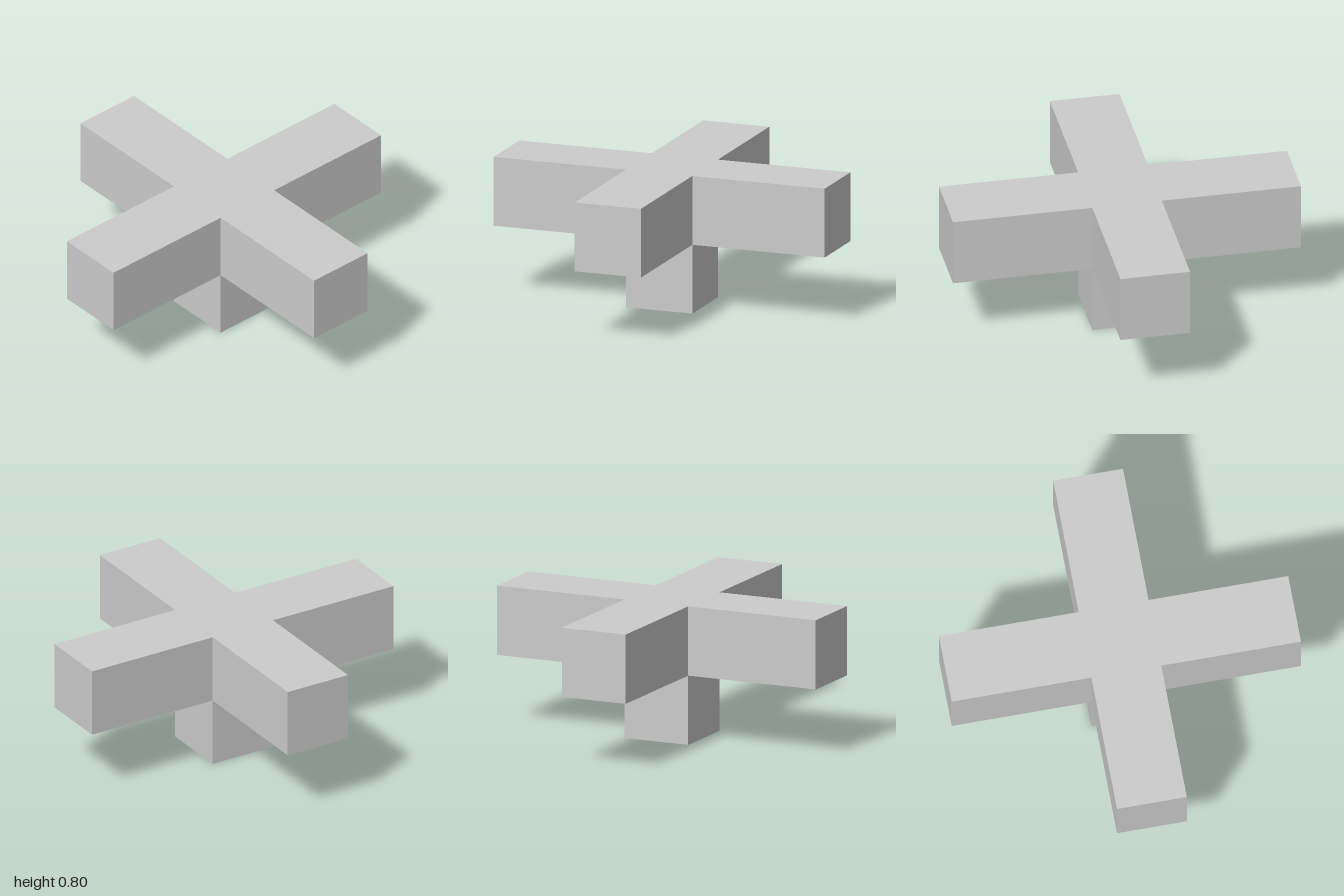
import * as THREE from 'three';

const HALF = 0.2;   // half the width of every bar
const REACH = 1;    // distance from the centre to the end of an arm
const SIZE = HALF * 2;

export function createModel() {
  const group = new THREE.Group();
  group.name = 'crossOnFoot';
  const material = new THREE.MeshStandardMaterial({ color: 0xcccccc, flatShading: true });

  // Four-armed cross: one arm's three corners, turned by quarter turns
  const outline = [];
  for (let i = 0; i < 4; i++) {
    for (const [x, y] of [[REACH, -HALF], [REACH, HALF], [HALF, HALF]]) {
      outline.push(new THREE.Vector2(x, y).rotateAround(new THREE.Vector2(), i * Math.PI / 2));
    }
  }
  const crossGeometry = new THREE.ExtrudeGeometry(new THREE.Shape(outline), { depth: SIZE, bevelEnabled: false });
  crossGeometry.rotateX(-Math.PI / 2);
  const cross = new THREE.Mesh(crossGeometry, material);
  cross.name = 'crossArms';
  cross.position.y = SIZE;
  group.add(cross);

  // Square foot under the centre
  const foot = new THREE.Mesh(new THREE.BoxGeometry(SIZE, SIZE, SIZE), material);
  foot.name = 'foot';
  foot.position.y = SIZE / 2;
  group.add(foot);

  return group;
}
